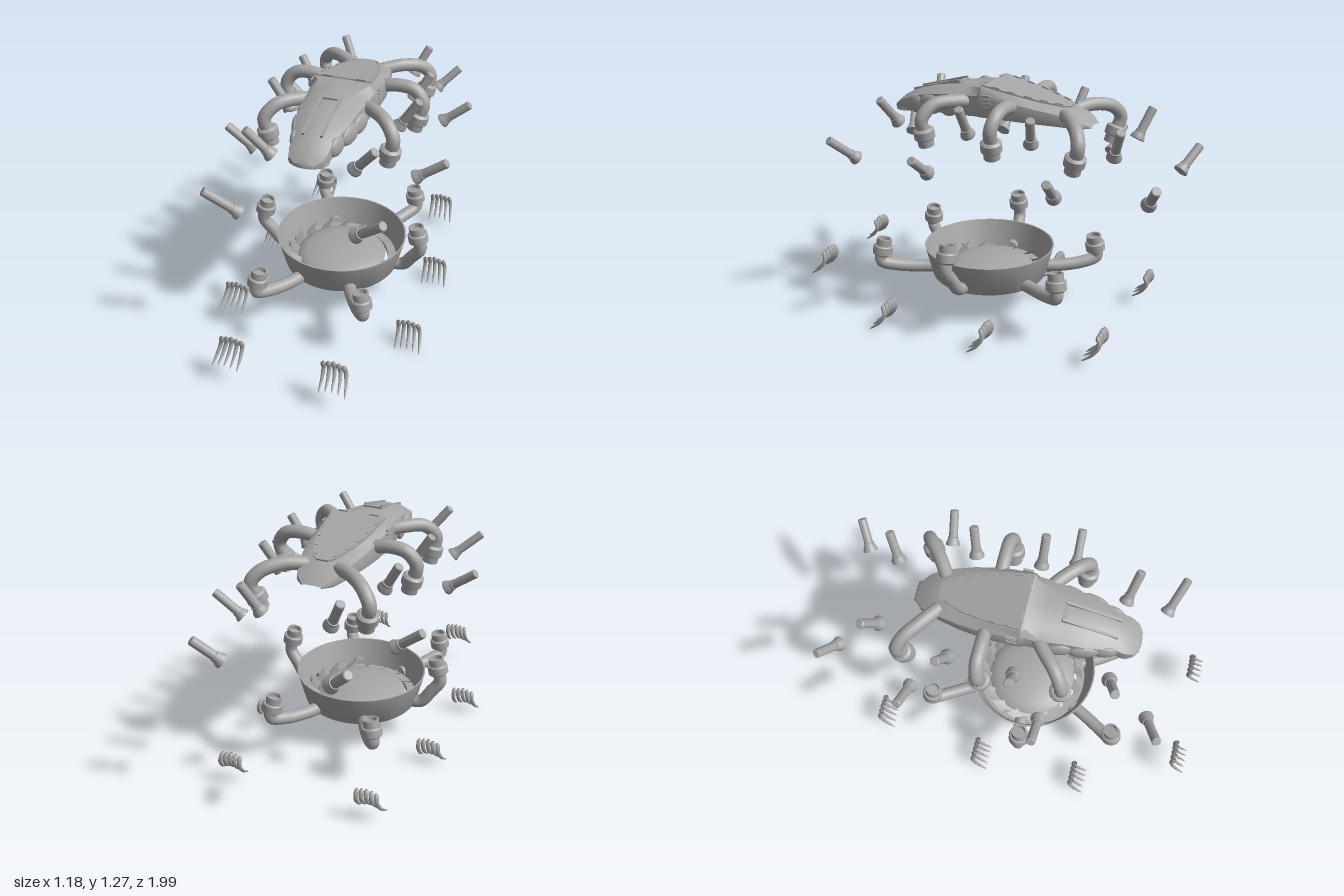
import * as THREE from 'three';
import { toCreasedNormals } from 'three/addons/utils/BufferGeometryUtils.js';

const grey = new THREE.MeshStandardMaterial({ color: 0xa6a6a6, side: THREE.DoubleSide });
grey.name = 'grey';
const V = (x, y, z) => new THREE.Vector3(x, y, z);
const UP = V(0, 1, 0);

function add(parent, name, geometry, x = 0, y = 0, z = 0) {
  const mesh = new THREE.Mesh(geometry, grey);
  mesh.name = name;
  mesh.position.set(x, y, z);
  parent.add(mesh);
  return mesh;
}
const lathe = (pts, n = 32) => toCreasedNormals(
  new THREE.LatheGeometry(pts.map(p => new THREE.Vector2(p[0], p[1])), n), 0.5);
const aim = (mesh, dir) => mesh.quaternion.setFromUnitVectors(UP, dir.clone().normalize());

// Curved tube arm ending in a stepped, hollow socket
const socketShape = lathe([[0, -0.03], [0.04, -0.03], [0.053, -0.02], [0.053, 0.022], [0.048, 0.028],
  [0.041, 0.028], [0.041, 0.066], [0.032, 0.066], [0.03, 0.045], [0, 0.045]], 24);
function arm(parent, name, points, side) {
  const g = new THREE.Group();
  g.name = name;
  const curve = new THREE.CatmullRomCurve3(points.map(p => V(p[0] * side, p[1], p[2])));
  add(g, 'armTube', new THREE.TubeGeometry(curve, 28, 0.034, 16));
  const end = curve.getPoint(1);
  aim(add(g, 'armSocket', socketShape, end.x, end.y, end.z), curve.getTangent(1));
  parent.add(g);
}

// Straight pin with a flared cup foot
function pin(parent, foot, tip, side) {
  const a = V(foot[0] * side, foot[1], foot[2]), b = V(tip[0] * side, tip[1], tip[2]);
  const dir = b.clone().sub(a), L = dir.length();
  const shape = lathe([[0, 0.012], [0.03, 0], [0.038, 0], [0.038, 0.01], [0.027, 0.032], [0.027, 0.045],
    [0.023, 0.046], [0.023, L - 0.004], [0.019, L], [0, L]], 20);
  aim(add(parent, 'pin', shape, a.x, a.y, a.z), dir);
}

// Tapered curved claw: tube rings shrink towards the tip
function claw(points) {
  const curve = new THREE.CatmullRomCurve3(points), n = 14, radial = 8;
  const geo = new THREE.TubeGeometry(curve, n, 0.013, radial), p = geo.attributes.position;
  for (let i = 0; i <= n; i++) {
    const c = curve.getPointAt(i / n), k = (i === 0 ? 0.4 : 1) * Math.sqrt(1.02 - i / n);
    for (let j = 0; j <= radial; j++) {
      const id = i * (radial + 1) + j;
      const v = V().fromBufferAttribute(p, id).sub(c).multiplyScalar(k).add(c);
      p.setXYZ(id, v.x, v.y, v.z);
    }
  }
  geo.computeVertexNormals();
  return geo;
}

// Open hull lofted from sections: z, top y, bottom y, deck half width, shoulder half width
const sections = [
  [0.56, 1.105, 1.085, 0.025, 0.05], [0.535, 1.13, 1.08, 0.04, 0.085], [0.49, 1.165, 1.08, 0.05, 0.1],
  [0.45, 1.187, 1.085, 0.05, 0.1], [0.4, 1.208, 1.09, 0.055, 0.115], [0.3, 1.235, 1.105, 0.065, 0.14],
  [0.2, 1.25, 1.11, 0.075, 0.15], [0.1, 1.258, 1.115, 0.1, 0.165], [0.02, 1.265, 1.12, 0.13, 0.17],
  [0, 1.275, 1.12, 0.15, 0.18], [-0.17, 1.243, 1.12, 0.135, 0.18], [-0.3, 1.215, 1.115, 0.11, 0.16],
  [-0.4, 1.19, 1.11, 0.075, 0.135], [-0.45, 1.175, 1.105, 0.05, 0.12], [-0.51, 1.14, 1.1, 0.04, 0.095],
  [-0.55, 1.11, 1.1, 0.02, 0.05]];
function hull() {
  const pos = [], idx = [];
  for (const [z, top, bot, t, w] of sections) {
    const h = top - bot;
    const half = [[w * 0.95, bot], [w, bot + h * 0.35], [w * 0.96, bot + h * 0.72], [t, top - h * 0.03]];
    const ring = [...half, [0, top], ...half.slice().reverse().map(([x, y]) => [-x, y])];
    ring.forEach(([x, y]) => pos.push(x, y, z));
  }
  const n = 9;
  for (let i = 0; i < sections.length - 1; i++) for (let j = 0; j < n - 1; j++) {
    const a = i * n + j, b = a + n;
    idx.push(a, a + 1, b, a + 1, b + 1, b);
  }
  const geo = new THREE.BufferGeometry();
  geo.setAttribute('position', new THREE.Float32BufferAttribute(pos, 3));
  geo.setIndex(idx);
  return toCreasedNormals(geo, 0.55);
}

function buildShell(root) {
  const g = new THREE.Group();
  g.name = 'upperShell';
  add(g, 'hull', hull());

  // Sloping rear deck with edge tabs
  const deck = new THREE.Shape([[-0.145, 0], [0.145, 0], [0.13, 0.17], [0.1, 0.31], [0.06, 0.41],
    [0.03, 0.44], [-0.03, 0.44], [-0.06, 0.41], [-0.1, 0.31], [-0.13, 0.17]].map(p => new THREE.Vector2(...p)));
  const plate = add(g, 'rearDeck', new THREE.ExtrudeGeometry(deck, { depth: 0.008, bevelEnabled: false }), 0, 1.273, 0);
  plate.rotation.x = -Math.PI / 2 - 0.2;
  for (const s of [-1, 1]) {
    for (const [x, z] of [[0.13, -0.07], [0.122, -0.15], [0.108, -0.235], [0.085, -0.31], [0.058, -0.38]]) {
      const tab = add(g, 'deckTab', new THREE.BoxGeometry(0.01, 0.014, 0.04), s * x, 1.279 + z * 0.2, z);
      tab.rotation.set(-0.2, s * (0.1 - z * 0.9), 0);
    }
    add(g, 'frontTab', new THREE.BoxGeometry(0.05, 0.012, 0.01), s * 0.085, 1.279, -0.005);
    // Side vents
    for (let i = 0; i < 4; i++)
      add(g, 'sideVent', new THREE.BoxGeometry(0.012, 0.008, 0.05), s * 0.177, 1.175 + i * 0.019, -0.04);
    // Sculpted cheeks beside the nose
    for (const [x, y, z, l] of [[0.135, 1.145, 0.3, 0.075], [0.15, 1.15, 0.19, 0.065], [0.105, 1.13, 0.4, 0.06]]) {
      const cheek = add(g, 'cheek', new THREE.SphereGeometry(1, 16, 10), s * x, y, z);
      cheek.scale.set(0.022, 0.05, l);
      cheek.rotation.y = -s * 0.2;
    }
    // Rails framing the nose hood
    const rail = add(g, 'hoodRail', new THREE.BoxGeometry(0.012, 0.02, 0.28), s * 0.045, 1.225, 0.31);
    rail.rotation.x = 0.26;
  }
  add(g, 'hoodBrow', new THREE.BoxGeometry(0.1, 0.016, 0.02), 0, 1.252, 0.18);

  // Rounded brim under the nose
  const brim = add(g, 'noseBrim', new THREE.SphereGeometry(1, 24, 10, 0, Math.PI * 2, 0, Math.PI / 2), 0, 1.082, 0.49);
  brim.scale.set(0.1, 0.06, 0.075);

  for (const s of [-1, 1]) {
    arm(g, 'upperFrontArm', [[0.11, 1.18, 0.06], [0.19, 1.195, 0.12], [0.28, 1.185, 0.2],
      [0.33, 1.12, 0.24], [0.315, 1.045, 0.235]], s);
    arm(g, 'upperMiddleArm', [[0.12, 1.18, -0.17], [0.24, 1.2, -0.17], [0.325, 1.185, -0.17],
      [0.372, 1.12, -0.16], [0.35, 1.04, -0.155]], s);
    arm(g, 'upperRearArm', [[0.08, 1.155, -0.42], [0.17, 1.165, -0.48], [0.26, 1.14, -0.55],
      [0.305, 1.08, -0.58], [0.288, 1.005, -0.56]], s);
  }
  root.add(g);
}

function buildBowl(root) {
  const g = new THREE.Group();
  g.name = 'lowerBowl';
  add(g, 'bowl', lathe([[0.255, 0.225], [0.255, 0.2], [0.3, 0.2], [0.308, 0.21], [0.35, 0.37],
    [0.342, 0.37], [0.298, 0.225], [0.255, 0.225]], 64), 0, 0, 0.03);
  add(g, 'dome', lathe([[0.24, 0.24], [0.23, 0.251], [0.19, 0.268], [0.13, 0.281], [0.06, 0.288], [0, 0.29]], 48), 0, 0, 0.03);
  add(g, 'fanHub', new THREE.CylinderGeometry(0.035, 0.035, 0.03, 20), 0, 0.222, 0.03);

  // Swirled, pitched fan blades
  const blade = new THREE.PlaneGeometry(1, 1, 8, 2), p = blade.attributes.position;
  for (let i = 0; i < p.count; i++) {
    const u = p.getX(i) + 0.5, v = p.getY(i) + 0.5;
    const r = 0.03 + 0.255 * u, a = 0.75 * u + 0.34 * v;
    p.setXYZ(i, r * Math.cos(a), 0.208 + v * (0.022 + 0.045 * u * u * u), r * Math.sin(a));
  }
  blade.computeVertexNormals();
  for (let i = 0; i < 16; i++) add(g, 'fanBlade', blade, 0, 0, 0.03).rotation.y = i * Math.PI / 8;

  for (const s of [-1, 1]) {
    arm(g, 'lowerMiddleArm', [[0.28, 0.235, 0.03], [0.35, 0.245, 0.035], [0.405, 0.315, 0.045],
      [0.447, 0.38, 0.055], [0.432, 0.45, 0.055]], s);
    for (const [name, d] of [['lowerFrontArm', 1], ['lowerRearArm', -1]])
      arm(g, name, [[0.13, 0.235, 0.26], [0.165, 0.235, 0.33], [0.24, 0.25, 0.45],
        [0.287, 0.28, 0.515], [0.278, 0.34, 0.508]].map(([x, y, z]) => [x, y, 0.03 + d * z]), s);
  }
  root.add(g);
}

export function createModel() {
  const root = new THREE.Group();
  root.name = 'explodedWalker';
  buildShell(root);
  buildBowl(root);

  // Floating pins (foot, tip), mirrored
  const pins = [
    [[0.27, 0.84, -0.92], [0.385, 0.955, -0.985]], [[0.175, 1.01, -0.712], [0.25, 1.16, -0.765]],
    [[0.4, 0.85, -0.505], [0.545, 0.965, -0.525]], [[0.275, 1.05, -0.33], [0.36, 1.195, -0.36]],
    [[0.29, 1.06, 0], [0.39, 1.215, 0]], [[0.425, 0.88, 0.157], [0.58, 0.99, 0.153]],
    [[0.285, 0.845, 0.67], [0.435, 0.975, 0.735]], [[0.205, 1.05, 0.45], [0.32, 1.19, 0.49]]];
  // Claw clusters: centre x, top y, base z
  const clusters = [[0.26, 0.28, 0.915], [0.48, 0.16, 0.388], [0.475, 0.16, -0.178], [0.37, 0.205, -0.752]];
  for (const s of [-1, 1]) {
    for (const [foot, tip] of pins) pin(root, foot, tip, s);
    for (const [x, y, z] of clusters) {
      const g = new THREE.Group();
      g.name = 'clawCluster';
      g.position.set(s * x, y, z);
      for (let i = -2; i <= 2; i++) {
        const o = i * 0.025 * s, d = -0.005 * Math.abs(i), k = i === 2 || i === -2 ? 0.93 : 0.88;
        add(g, 'claw', claw([V(o, d, 0), V(o * 1.1 + s * 0.004, d - 0.045 * k, -0.016),
          V(o * 1.2 + s * 0.01, d - 0.1 * k, 0.012), V(o * 1.3 + s * 0.015, d - 0.145 * k, 0.065)]));
      }
      root.add(g);
    }
  }
  return root;
}
